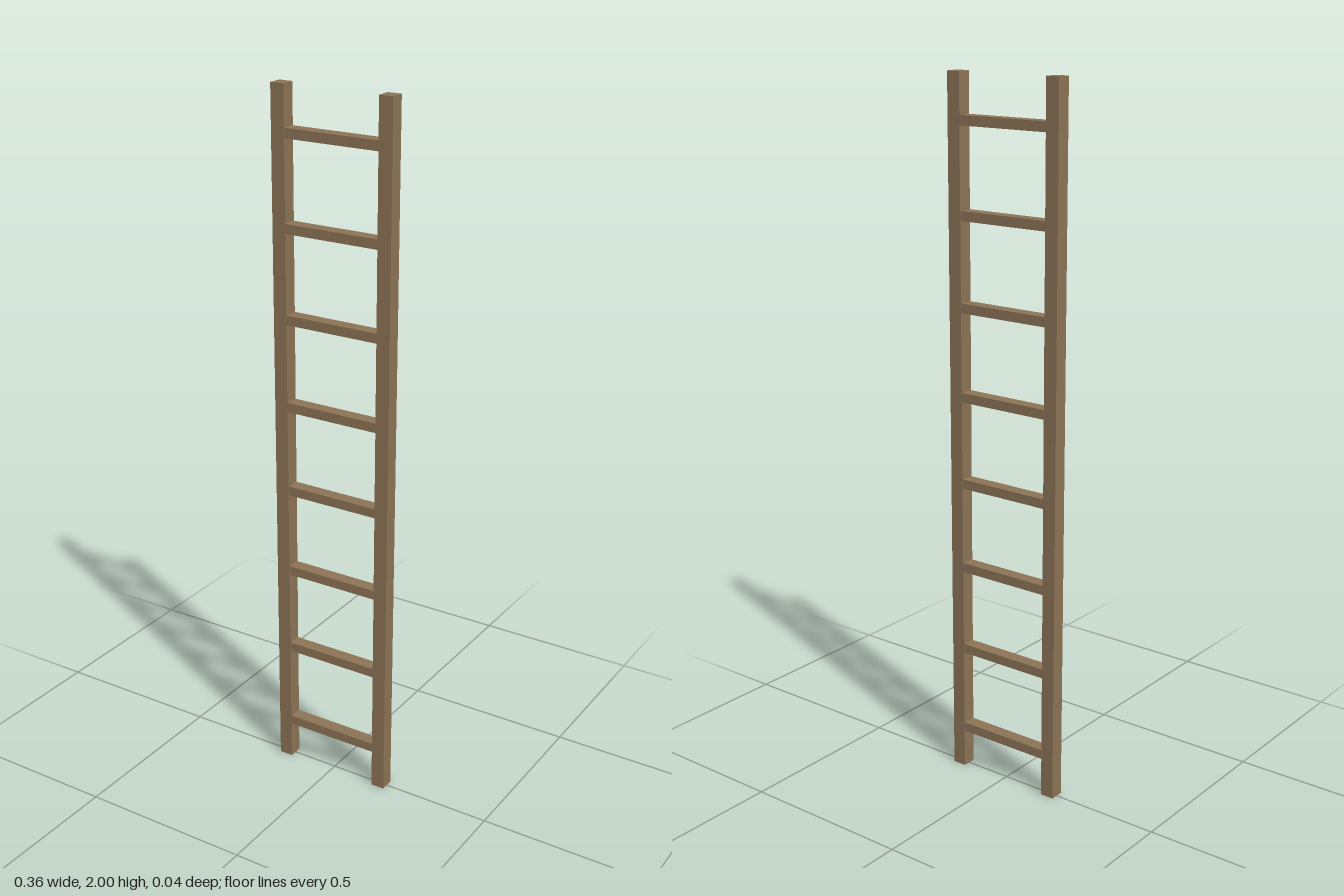
import * as THREE from 'three';

export function createModel() {
  const ladder = new THREE.Group();
  ladder.name = 'ladder';
  const wood = new THREE.MeshStandardMaterial({ color: 0x8b7355 });

  const addBeam = (name, size, position) => {
    const mesh = new THREE.Mesh(new THREE.BoxGeometry(...size), wood);
    mesh.name = name;
    mesh.position.set(...position);
    ladder.add(mesh);
  };

  // Two square side rails
  const railX = 0.16, railWidth = 0.04;
  addBeam('leftRail', [railWidth, 2, 0.041], [railX, 1, 0]);
  addBeam('rightRail', [railWidth, 2, 0.041], [-railX, 1, 0]);

  // Eight evenly spaced rungs between the rails, slightly slimmer than them
  const rungCount = 8, spacing = 2 / rungCount;
  for (let i = 0; i < rungCount; i++) {
    addBeam(`rung${i + 1}`, [2 * railX - railWidth, 0.027, 0.038], [0, spacing * (i + 0.5), 0]);
  }
  return ladder;
}
